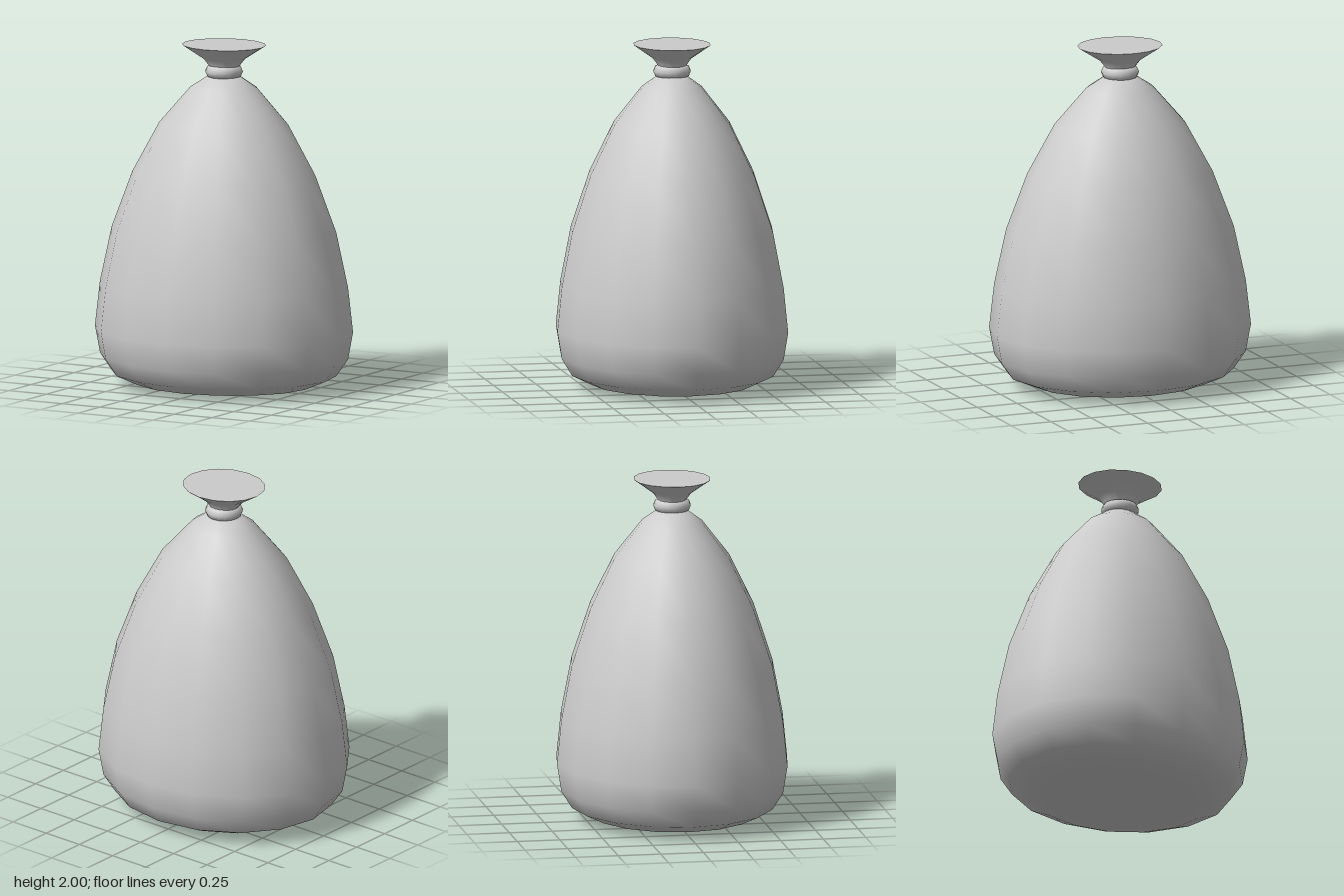
import * as THREE from 'three';

const SIDES = 16;

export function createModel() {
  const group = new THREE.Group();
  const material = new THREE.MeshStandardMaterial({ color: 0xcccccc });

  const add = (name, geometry) => {
    const mesh = new THREE.Mesh(geometry, material);
    mesh.name = name;
    group.add(mesh);
    return mesh;
  };
  // Smooth elliptical lathe from [radius, height] pairs
  const lathe = (name, profile, depth) => {
    const points = profile.map(([r, y]) => new THREE.Vector2(r, y));
    return add(name, new THREE.LatheGeometry(points, SIDES).scale(1, 1, depth));
  };

  // Plump sack body, closed underneath
  lathe('sackBody', [
    [0, 0], [0.38, 0.005], [0.54, 0.025], [0.67, 0.08], [0.74, 0.18],
    [0.77, 0.34], [0.74, 0.6], [0.67, 0.92], [0.545, 1.25],
    [0.385, 1.54], [0.2, 1.75], [0.1, 1.815], [0, 1.83],
  ], 0.877);

  // Cord tied around the neck
  const tie = add('neckTie', new THREE.TorusGeometry(0.07, 0.04, 8, SIDES));
  tie.rotation.x = Math.PI / 2;
  tie.position.y = 1.845;

  // Gathered cloth flaring out above the tie
  lathe('flaredMouth', [
    [0.085, 1.82], [0.085, 1.87], [0.125, 1.92], [0.25, 2],
  ], 0.895);

  // Flat top closing the mouth
  lathe('mouthTop', [[0.25, 2], [0, 2]], 0.895);

  return group;
}
